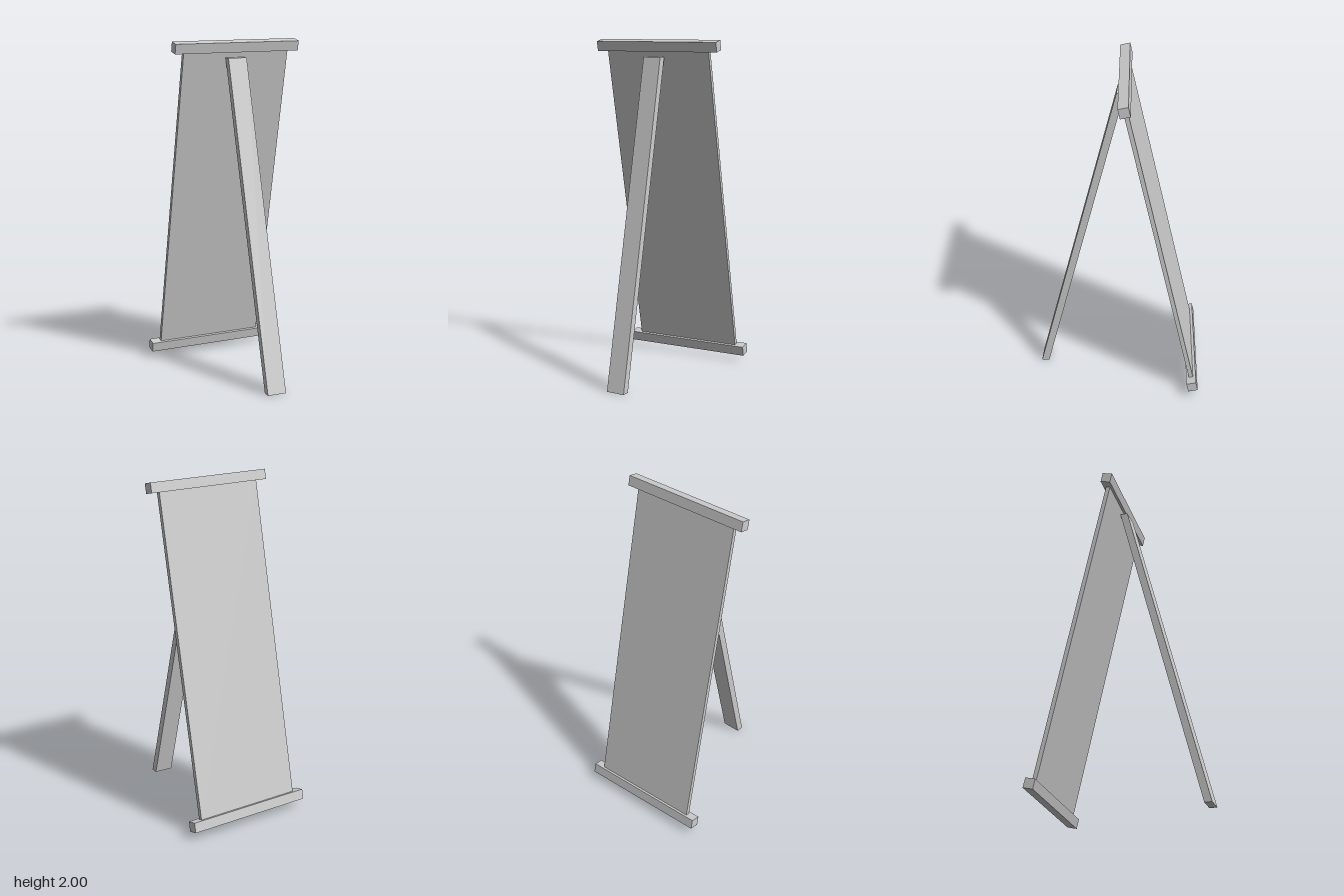
import * as THREE from 'three';

export function createModel() {
  const model = new THREE.Group();
  const material = new THREE.MeshStandardMaterial({ color: 0xcccccc, flatShading: true });

  const addBox = (parent, name, w, h, d, y = 0) => {
    const mesh = new THREE.Mesh(new THREE.BoxGeometry(w, h, d), material);
    mesh.name = name;
    mesh.position.y = y;
    parent.add(mesh);
    return mesh;
  };

  // Leaning board with a square rail at each end
  const top = new THREE.Vector2(-0.035, 1.965); // z, y of the rail centres
  const bottom = new THREE.Vector2(-0.455, 0.075);
  const length = top.distanceTo(bottom);
  const rail = 0.059;
  const board = new THREE.Group();
  board.name = 'board';
  board.position.set(0, (top.y + bottom.y) / 2, (top.x + bottom.x) / 2);
  board.rotation.x = Math.atan2(top.x - bottom.x, top.y - bottom.y);
  addBox(board, 'panel', 0.67, length - rail, 0.025);
  addBox(board, 'topRail', 0.79, rail, rail, length / 2);
  addBox(board, 'bottomRail', 0.79, rail, rail, -length / 2);
  model.add(board);

  // Supporting leg: a slightly turned bar, slanted so its ends stay level
  const legHeight = 1.9;
  const leg = addBox(model, 'supportLeg', 0.114, legHeight, 0.045);
  leg.geometry.rotateY(THREE.MathUtils.degToRad(-3));
  leg.geometry.translate(0, legHeight / 2, 0);
  const p = leg.geometry.attributes.position;
  for (let i = 0; i < p.count; i++) {
    const t = p.getY(i) / legHeight;
    p.setX(i, p.getX(i) + THREE.MathUtils.lerp(0.01, -0.012, t));
    p.setZ(i, p.getZ(i) + THREE.MathUtils.lerp(0.464, -0.012, t));
  }
  leg.geometry.computeVertexNormals();

  return model;
}
